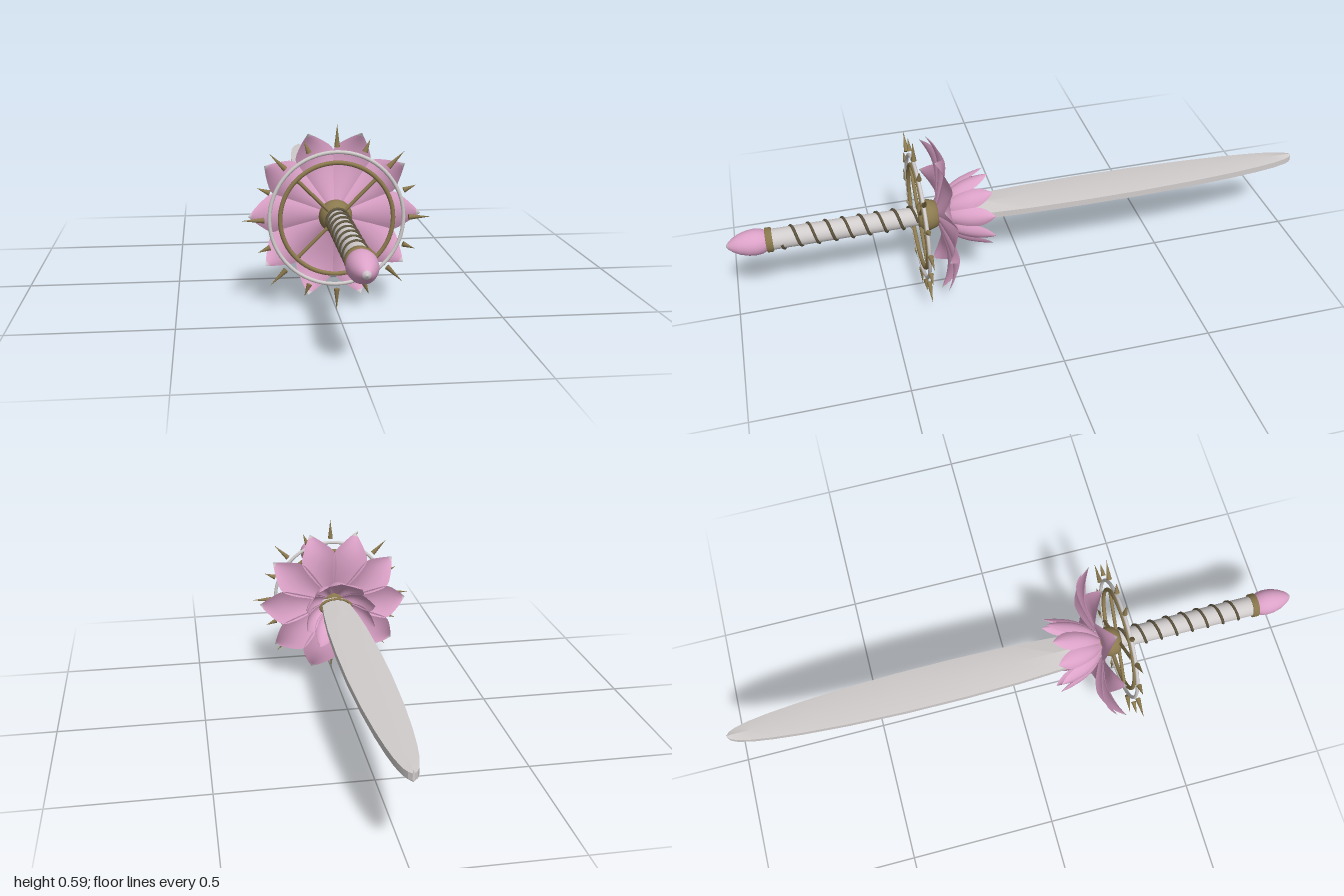
import * as THREE from 'three';
import { toCreasedNormals } from 'three/addons/utils/BufferGeometryUtils.js';

const make = (name, color, side = THREE.FrontSide) => {
  const m = new THREE.MeshStandardMaterial({ color, side });
  m.name = name;
  return m;
};

export function createModel() {
  const silver = make('silver', 0xd0cccb);
  const gold = make('antique gold', 0x8c7a4f);
  const bronze = make('dark bronze', 0x5f5540);
  const pink = make('petal pink', 0xdca2c8, THREE.DoubleSide);
  const pale = make('petal tip', 0xcfc6cb, THREE.DoubleSide);

  const model = new THREE.Group();
  model.name = 'flowerSword';
  const sword = new THREE.Group(); // the sword axis runs along z
  sword.name = 'sword';
  sword.position.y = 0.297;
  model.add(sword);

  const add = (name, geometry, material, parent = sword) => {
    const mesh = new THREE.Mesh(geometry, material);
    mesh.name = name;
    parent.add(mesh);
    return mesh;
  };
  // Lathe around the z axis from [radius, z] points with rising z
  const turned = (points) => new THREE.LatheGeometry(
    points.map(([r, z]) => new THREE.Vector2(r, z)), 32).rotateX(Math.PI / 2);

  // Blade: six-sided section lofted towards -z
  const outline = [[0.3, 0.045], [0.14, 0.06], [0, 0.068], [-0.2, 0.072], [-0.4, 0.071], [-0.6, 0.064],
    [-0.75, 0.054], [-0.85, 0.044], [-0.92, 0.034], [-0.97, 0.022], [-0.99, 0.013], [-1, 0.003]];
  const pos = [], idx = [];
  outline.forEach(([z, w], i) => {
    const t = 0.015 + 0.006 * (z + 1) / 1.3;
    const e = 0.011;
    pos.push(w, -e, z, w, e, z, 0, t, z, -w, e, z, -w, -e, z, 0, -t, z);
    if (i === 0) return;
    for (let j = 0; j < 6; j++) {
      const a = (i - 1) * 6 + j, b = (i - 1) * 6 + (j + 1) % 6;
      idx.push(a, a + 6, b, b, a + 6, b + 6);
    }
  });
  const last = (outline.length - 1) * 6;
  for (let j = 1; j < 5; j++) idx.push(last, last + j + 1, last + j, 0, j, j + 1);
  const blade = new THREE.BufferGeometry();
  blade.setAttribute('position', new THREE.Float32BufferAttribute(pos, 3));
  blade.setIndex(idx);
  add('blade', toCreasedNormals(blade, 0.3), silver);

  // Grip with a spiral wire
  add('grip', turned([[0.031, 0.34], [0.033, 0.45], [0.034, 0.6], [0.035, 0.86]]), silver);
  const spiral = [];
  for (let i = 0; i <= 128; i++) {
    const a = i / 16 * Math.PI * 2;
    spiral.push(new THREE.Vector3(0.035 * Math.cos(a), 0.035 * Math.sin(a), 0.375 + 0.45 * i / 128));
  }
  add('gripWire', new THREE.TubeGeometry(new THREE.CatmullRomCurve3(spiral), 320, 0.005, 6), bronze);

  // Pommel
  add('pommelCollar', turned([[0.03, 0.85], [0.041, 0.852], [0.041, 0.872], [0.03, 0.875]]), gold);
  add('pommelBud', turned([[0.034, 0.87], [0.041, 0.885], [0.044, 0.905], [0.042, 0.93],
    [0.034, 0.958], [0.022, 0.98], [0.012, 0.992]]), pink);
  add('pommelTip', turned([[0.012, 0.992], [0.006, 0.997], [0, 1]]), pale);

  // Guard: hub, two rings, four spokes and sixteen spikes
  const guard = new THREE.Group();
  guard.name = 'guard';
  sword.add(guard);
  add('hub', turned([[0, 0.29], [0.032, 0.297], [0.046, 0.312], [0.053, 0.333],
    [0.049, 0.354], [0.04, 0.367], [0.03, 0.375], [0, 0.375]]), gold, guard);
  const ringZ = 0.37;
  add('innerRing', new THREE.TorusGeometry(0.176, 0.007, 10, 64), gold, guard).position.z = ringZ;
  add('outerRing', new THREE.TorusGeometry(0.209, 0.006, 10, 64), silver, guard).position.z = ringZ;
  for (let i = 0; i < 4; i++) {
    const spoke = new THREE.CylinderGeometry(0.006, 0.006, 0.14, 8).translate(0, 0.106, 0);
    const mesh = add('spoke', spoke, gold, guard);
    mesh.position.z = ringZ - 0.004;
    mesh.rotation.z = Math.PI / 4 + i * Math.PI / 2;
  }
  for (let i = 0; i < 16; i++) {
    const tip = i % 2 ? 0.267 : 0.295;
    const spike = new THREE.ConeGeometry(0.009, tip - 0.225, 10).translate(0, (tip + 0.225) / 2, 0);
    const mesh = add('spike', spike, gold, guard);
    mesh.position.z = ringZ;
    mesh.rotation.z = i * Math.PI / 8;
  }

  // Petal: spine of [radius, z, halfWidth] rows, edges shifted by the cup amounts
  const petalGeometry = (rows, cupR, cupZ) => {
    const spine = new THREE.CatmullRomCurve3(rows.map((p) => new THREE.Vector3(...p)));
    const nu = 16, nv = 8, p = [], faces = [];
    for (let i = 0; i <= nu; i++) {
      const s = spine.getPoint(i / nu);
      const w = Math.max(s.z, 0.001), widest = Math.max(...rows.map((r) => r[2]));
      for (let j = 0; j <= nv; j++) {
        const v = j / nv * 2 - 1, k = v * v * w / widest;
        p.push(s.x + cupR * k, v * w, s.y + cupZ * k);
        if (i < nu && j < nv) {
          const a = i * (nv + 1) + j, b = a + nv + 1;
          faces.push(a, b, a + 1, b, b + 1, a + 1);
        }
      }
    }
    const g = new THREE.BufferGeometry();
    g.setAttribute('position', new THREE.Float32BufferAttribute(p, 3));
    g.setIndex(faces);
    g.computeVertexNormals();
    const body = (nu - 1) * nv * 6;
    g.addGroup(0, body, 0);
    g.addGroup(body, nv * 6, 1);
    return g;
  };
  const outer = petalGeometry([[0.03, 0.308, 0.012], [0.09, 0.294, 0.034], [0.15, 0.285, 0.055],
    [0.195, 0.286, 0.062], [0.235, 0.297, 0.036], [0.272, 0.316, 0.001]], 0, -0.016);
  const inner = petalGeometry([[0.03, 0.305, 0.01], [0.075, 0.268, 0.024], [0.103, 0.225, 0.034],
    [0.119, 0.18, 0.031], [0.126, 0.15, 0.017], [0.129, 0.13, 0.001]], -0.014, -0.006);
  const flower = new THREE.Group();
  flower.name = 'flower';
  sword.add(flower);
  for (let i = 0; i < 10; i++) {
    add('outerPetal', outer, [pink, pale], flower).rotation.z = i * Math.PI / 5;
    add('innerPetal', inner, [pink, pink], flower).rotation.z = (i + 0.5) * Math.PI / 5;
  }

  // Gold band around the blade root
  const band = add('bladeBand', new THREE.TorusGeometry(0.05, 0.006, 8, 40), gold);
  band.scale.set(1.1, 0.6, 1);
  band.position.z = 0.25;

  return model;
}
